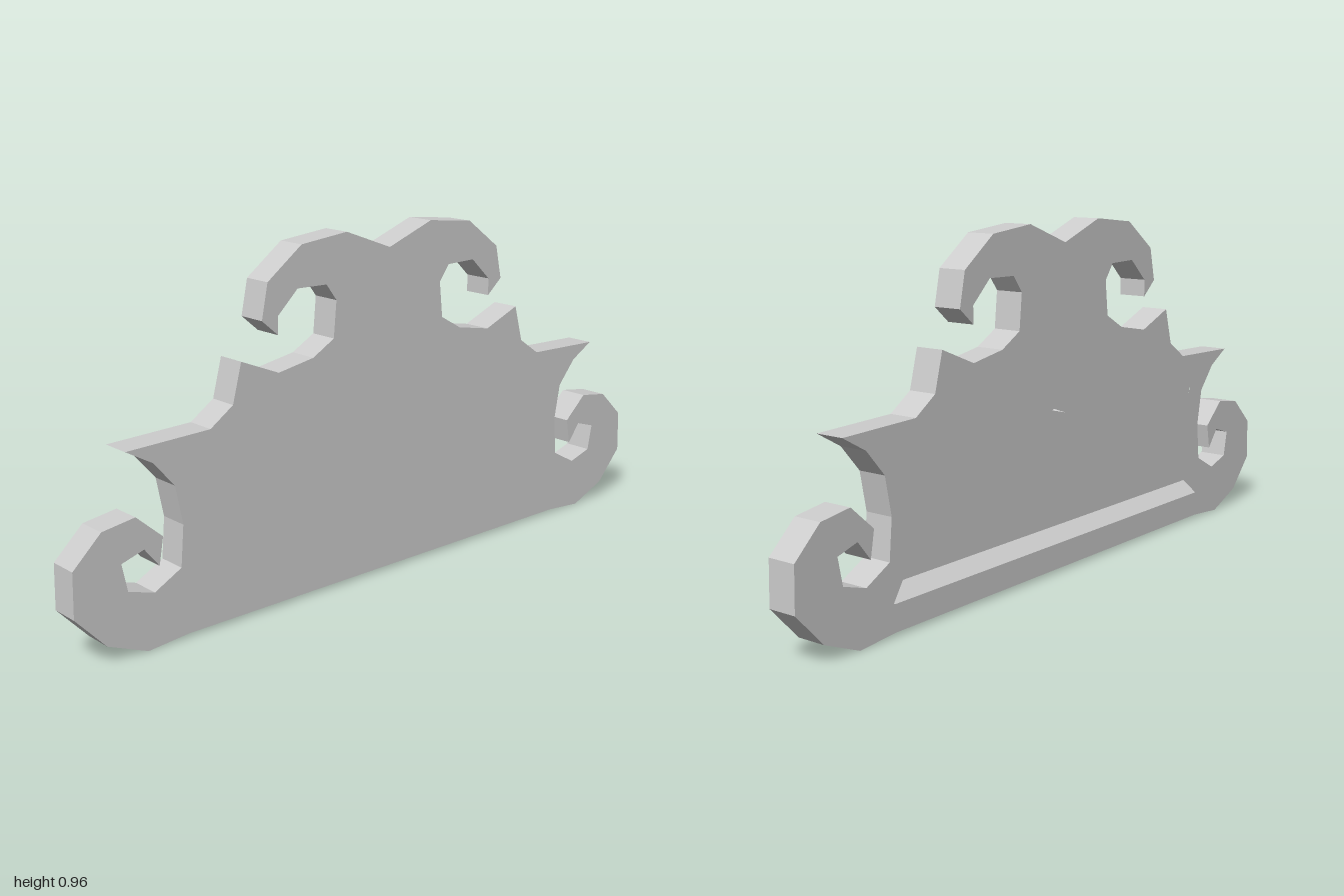
import * as THREE from 'three';

const HALF_THICK = 0.0415;
const FLOOR_X = 0.003; // depth plane of the recessed panel

// Half contours as [distance from centre line, height], from top centre to bottom
const SCROLL_EDGE = [
  [0, 0.907], [0.15, 0.963], [0.3, 0.947], [0.41, 0.865], [0.43, 0.77],
  [0.38, 0.727], [0.38, 0.775], [0.315, 0.837], [0.22, 0.835], [0.187, 0.79], // upper scroll
  [0.197, 0.69], [0.267, 0.65], [0.38, 0.63], [0.497, 0.678], [0.525, 0.573],
  [0.595, 0.525], [0.84, 0.518], [0.765, 0.475], [0.705, 0.405], [0.685, 0.3], // steps and spur
  [0.695, 0.19], [0.775, 0.147], [0.85, 0.17], [0.865, 0.245], [0.8, 0.265],
  [0.758, 0.212], [0.745, 0.285], [0.82, 0.352], [0.915, 0.338], [0.997, 0.26], // lower scroll
  [1, 0.14], [0.915, 0.048], [0.8, 0], [0.68, 0.01],
];
const RECESS_EDGE = [
  [0, 0.445], [0.1, 0.48], [0.19, 0.58], [0.45, 0.59], [0.5, 0.49],
  [0.65, 0.46], [0.605, 0.33], [0.61, 0.2], [0.685, 0.082],
];

// Mirror a half contour into a closed symmetric one
function mirrored(half) {
  const other = half.slice(1).reverse().map(([u, y]) => [-u, y]);
  return [...half, ...other].map(([u, y]) => new THREE.Vector2(u, y));
}

// Extrude a contour sideways between two x positions
function slab(shape, x0, x1) {
  const geo = new THREE.ExtrudeGeometry(shape, { depth: x1 - x0, bevelEnabled: false });
  return geo.rotateY(Math.PI / 2).translate(x0, 0, 0);
}

export function createModel() {
  const group = new THREE.Group();
  group.name = 'scrolledOrnament';
  const material = new THREE.MeshStandardMaterial({ color: 0xcccccc, flatShading: true });
  const add = (name, geo) => {
    const mesh = new THREE.Mesh(geo, material);
    mesh.name = name;
    group.add(mesh);
  };

  // Solid plate with the plain face
  add('facePlate', slab(new THREE.Shape(mirrored(SCROLL_EDGE)), FLOOR_X, HALF_THICK));

  // Raised border around the recess on the other side
  const rim = new THREE.Shape(mirrored(SCROLL_EDGE));
  rim.holes.push(new THREE.Path(mirrored(RECESS_EDGE)));
  add('recessRim', slab(rim, -HALF_THICK, FLOOR_X));

  // Sloping ledge along the bottom of the recess
  const ledge = new THREE.Shape([
    new THREE.Vector2(-HALF_THICK, 0.082),
    new THREE.Vector2(FLOOR_X, 0.082),
    new THREE.Vector2(FLOOR_X, 0.115),
  ]);
  const ledgeGeo = new THREE.ExtrudeGeometry(ledge, { depth: 1.36, bevelEnabled: false });
  add('recessLedge', ledgeGeo.translate(0, 0, -0.68));

  return group;
}
